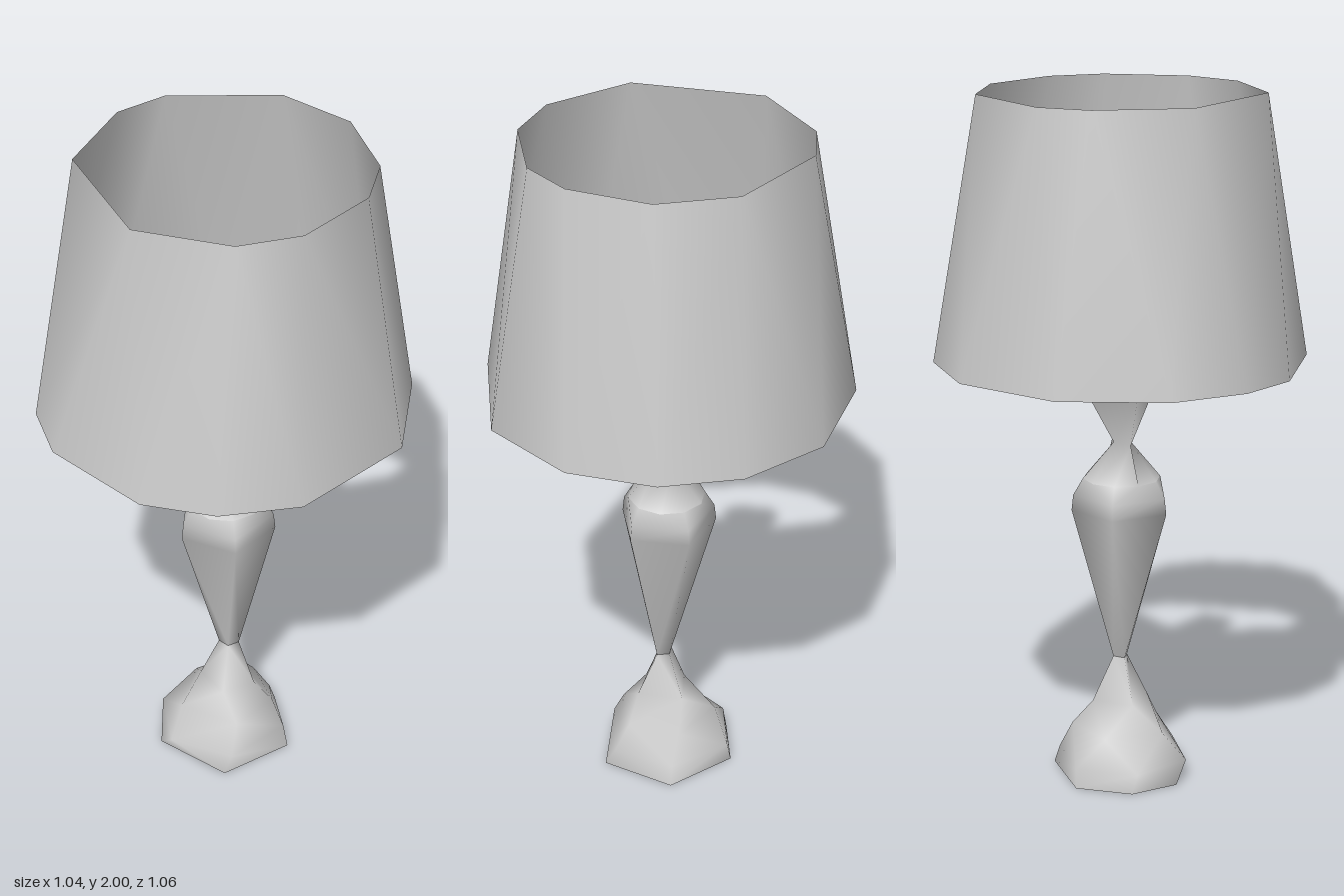
import * as THREE from 'three';

const paint = new THREE.MeshStandardMaterial({ color: 0xcccccc, side: THREE.DoubleSide });
paint.name = 'light grey';

// ring of corners: height, radius (number or [x, z]), corner angles in degrees, centre
const ring = (y, r, angles, cx = 0, cz = 0) => {
  const [rx, rz] = Array.isArray(r) ? r : [r, r];
  return {
    angles,
    points: angles.map((d) => {
      const t = THREE.MathUtils.degToRad(d);
      return [cx + rx * Math.cos(t), y, cz + rz * Math.sin(t)];
    }),
  };
};

// even ring angles, starting at an offset
const even = (n, start = 0) => Array.from({ length: n }, (_, i) => start + (i * 360) / n);

// skin rings from bottom to top, zipping together rings with different corner counts
function loft(name, rings) {
  const positions = [], index = [], starts = [];
  for (const r of rings) {
    starts.push(positions.length / 3);
    r.points.forEach((p) => positions.push(...p));
  }
  const angleAt = (r, i) => r.angles[i % r.angles.length] + (i >= r.angles.length ? 360 : 0);
  for (let k = 0; k < rings.length - 1; k++) {
    const a = rings[k], b = rings[k + 1];
    const n = a.angles.length, m = b.angles.length;
    const A = (i) => starts[k] + (i % n), B = (j) => starts[k + 1] + (j % m);
    let i = 0, j = 0;
    while (i < n || j < m) {
      if (j >= m || (i < n && angleAt(a, i + 1) <= angleAt(b, j + 1))) {
        index.push(A(i), B(j), A(i + 1));
        i++;
      } else {
        index.push(A(i), B(j), B(j + 1));
        j++;
      }
    }
  }
  const g = new THREE.BufferGeometry();
  g.setAttribute('position', new THREE.Float32BufferAttribute(positions, 3));
  g.setIndex(index);
  g.computeVertexNormals();
  const mesh = new THREE.Mesh(g, paint);
  mesh.name = name;
  return mesh;
}

export function createModel() {
  const lamp = new THREE.Group();
  lamp.name = 'tableLamp';

  const foot = [17, 84, 155, 197, 245, 311];
  const collar = even(10);
  const cup = [50, 90, 180, 270, 310];
  const socket = even(6, 10);

  // irregular foot, narrowing to the waist
  lamp.add(loft('footUnderside', [ring(0, 0.001, foot), ring(0, 0.207, foot)]));
  lamp.add(loft('foot', [
    ring(0, 0.207, foot),
    ring(0.055, 0.195, [10, 75, 135, 193, 250, 312], -0.01),
    ring(0.14, 0.145, [5, 70, 150, 225, 300]),
    ring(0.22, 0.085, [20, 95, 180, 275], 0.01),
    ring(0.35, [0.03, 0.022], [0, 90, 180, 270], 0.01),
  ]));

  // vase body
  lamp.add(loft('vaseBody', [
    ring(0.35, [0.03, 0.022], [0, 90, 180, 270], 0.01),
    ring(0.8, 0.145, even(5)),
    ring(0.845, 0.14, even(5)),
    ring(0.893, 0.112, collar),
  ]));

  // pinched neck and cup
  lamp.add(loft('neck', [
    ring(0.893, 0.112, collar),
    ring(1.0, [0.06, 0.025], [0, 90, 180, 270]),
    ring(1.14, 0.102, cup),
    ring(1.152, 0.095, cup),
  ]));
  lamp.add(loft('cupTop', [ring(1.152, 0.095, cup), ring(1.152, 0.055, socket, 0.01)]));

  // socket and bulb hidden inside the shade
  lamp.add(loft('socket', [
    ring(1.152, [0.06, 0.04], socket, 0.01),
    ring(1.24, 0.038, socket),
    ring(1.29, 0.052, socket),
    ring(1.37, 0.028, socket),
  ]));
  const bulb = [15, 88, 200, 285];
  lamp.add(loft('bulb', [
    ring(1.37, 0.028, socket),
    ring(1.57, 0.115, bulb, 0.01),
    ring(1.64, 0.07, bulb, 0.01),
    ring(1.68, 0.001, bulb, 0.01),
  ]));

  // open tapered shade with uneven corners
  lamp.add(loft('shade', [
    ring(1.24, 0.533, [18.5, 60.5, 85.7, 108.8, 145.7, 166, 191, 225, 261.4, 291.4, 317, 345]),
    ring(2, 0.406, [18, 54, 80, 120, 177, 216.6, 239, 286, 319.4, 354.4]),
  ]));

  return lamp;
}
